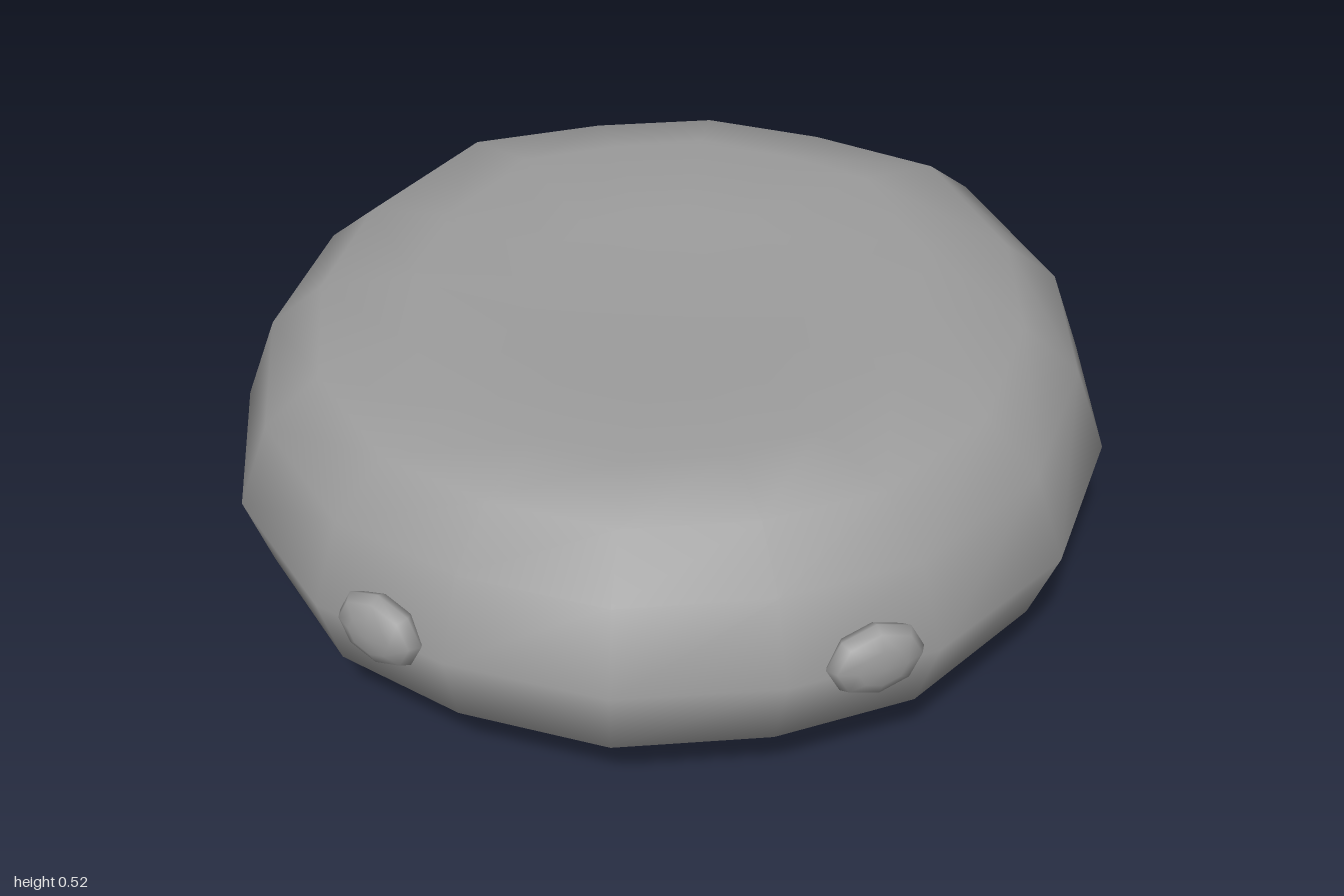
import * as THREE from 'three';

const material = new THREE.MeshStandardMaterial({ color: 0x9c9c9c });

// Closed smooth skin over rings stacked from bottom to top, each end capped by a point.
// A ring given twice makes a sharp edge there.
function loft(bottom, rings, top) {
  const n = rings[0].length;
  const points = [...rings.flat(), bottom, top];
  const b = points.length - 2, t = points.length - 1, last = (rings.length - 1) * n;
  const index = [];
  for (let j = 0; j < n; j++) {
    const k = (j + 1) % n;
    index.push(b, k, j, last + j, last + k, t);
    for (let i = 0; i < rings.length - 1; i++) {
      const r = i * n, s = r + n;
      if (rings[i] === rings[i + 1]) continue;
      index.push(r + j, r + k, s + k, r + j, s + k, s + j);
    }
  }
  const geometry = new THREE.BufferGeometry();
  geometry.setAttribute('position', new THREE.Float32BufferAttribute(points.flat(), 3));
  geometry.setIndex(index);
  geometry.computeVertexNormals();
  return geometry;
}

// Half outline from front to back, mirrored to a full loop.
const mirrorLoop = (half) => [
  ...half,
  ...half.slice(1, -1).reverse().map(([x, z]) => [-x, z]),
];

function part(name, geometry) {
  const mesh = new THREE.Mesh(geometry, material);
  mesh.name = name;
  return mesh;
}

function createBody() {
  const outline = mirrorLoop([
    [0, 1], [0.35, 0.93], [0.65, 0.78], [0.9, 0.46], [1, 0.04],
    [0.95, -0.37], [0.715, -0.79], [0.35, -0.93], [0, -1],
  ]);
  // Half width, front z, back z, height at front, height at back
  const levels = [
    [0.30, 0.52, -0.2, 0.01, 0.006],
    [0.57, 0.86, -0.47, 0.04, 0.02],
    [0.72, 0.99, -0.58, 0.12, 0.11],
    [0.775, 1.0, -0.625, 0.225, 0.23],
    [0.72, 0.96, -0.59, 0.37, 0.39],
    [0.62, 0.87, -0.47, 0.455, 0.485],
    [0.45, 0.73, -0.3, 0.487, 0.525],
    [0.25, 0.5, -0.05, 0.485, 0.503],
  ];
  const [inner, edge, ...upper] = levels.map(([w, front, back, yFront, yBack]) =>
    outline.map(([u, v]) => [
      u * w,
      THREE.MathUtils.lerp(yBack, yFront, (v + 1) / 2),
      THREE.MathUtils.lerp(back, front, (v + 1) / 2),
    ]));
  // Sharp edge round the flat underside, slightly dished top
  return part('body', loft([0, 0, 0.17], [inner, edge, edge, ...upper], [0, 0.488, 0.22]));
}

function createTail() {
  const outline = mirrorLoop([
    [0, -0.42], [0.18, -0.46], [0.3, -0.52], [0.21, -0.61],
    [0.285, -0.73], [0.235, -0.92], [0, -1],
  ]);
  const centre = -0.7;
  // Scale and height
  const levels = [[0.8, 0.01], [1, 0.09], [1, 0.18], [0.8, 0.235], [0.45, 0.245]];
  const [edge, ...upper] = levels.map(([s, y]) =>
    outline.map(([x, z]) => [
      x * s,
      // The top sinks a little at the neck
      z > -0.65 && y > 0.15 ? y - 0.025 : y,
      centre + (z - centre) * s,
    ]));
  return part('tail', loft([0, 0.005, centre], [edge, edge, ...upper], [0, 0.245, centre]));
}

export function createModel() {
  const model = new THREE.Group();
  model.name = 'flatCreature';
  model.add(createBody(), createTail());

  // Flattened eyes lying along the front curve
  const eyeGeometry = new THREE.SphereGeometry(1, 8, 6).rotateX(Math.PI / 2);
  for (const [name, x, y, z] of [['leftEye', 0.403, 0.245, 0.875], ['rightEye', -0.382, 0.24, 0.885]]) {
    const eye = part(name, eyeGeometry);
    eye.scale.set(0.085, 0.066, 0.035);
    eye.position.set(x, y, z);
    eye.rotation.y = Math.sign(x) * 0.5;
    model.add(eye);
  }
  return model;
}
